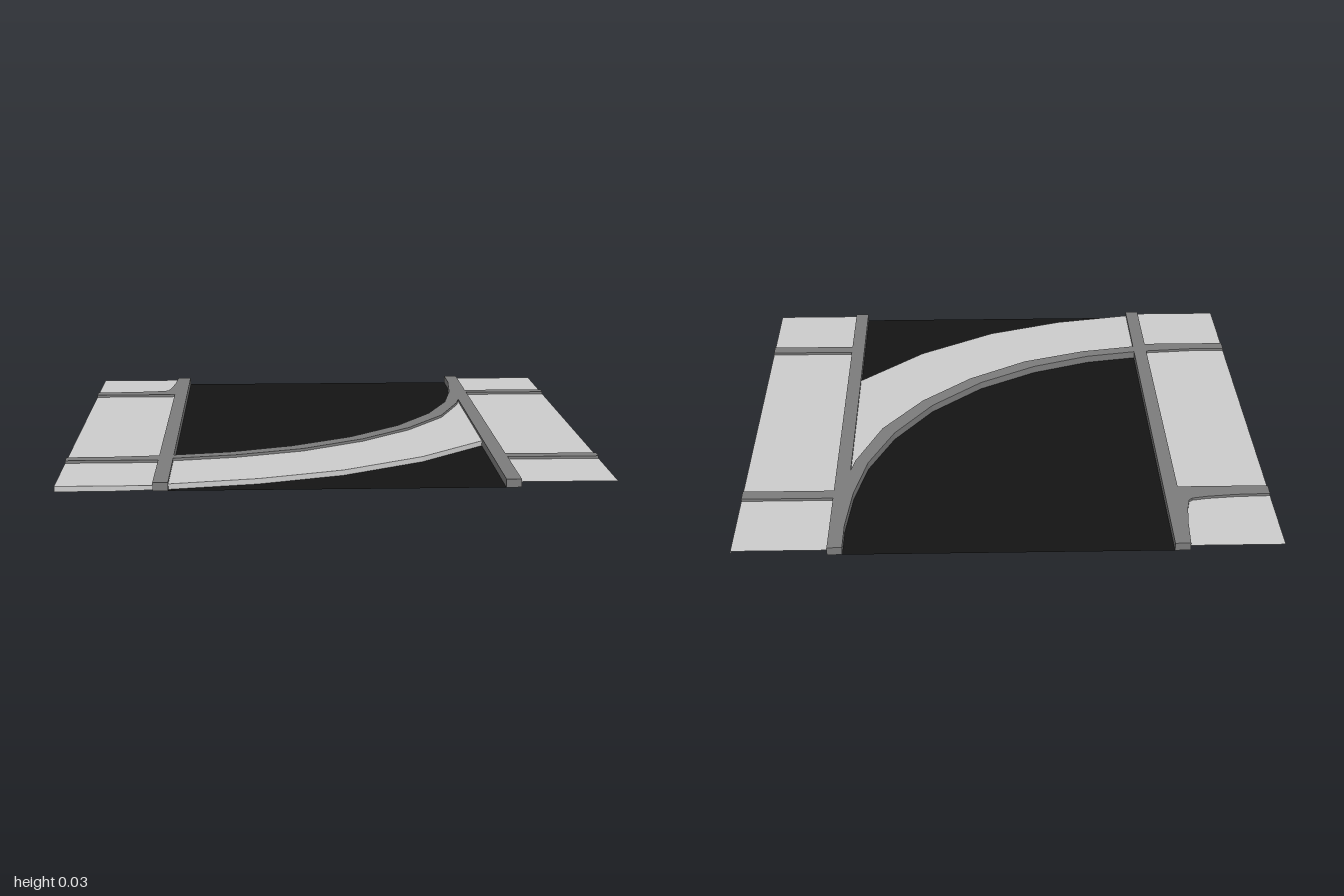
import * as THREE from 'three';

const CURB_TOP = 0.03, PAVE_TOP = 0.02;
const INNER = 0.6, OUTER = 0.655; // road-side and pavement-side edges of the curbs

const makeMat = (color) => new THREE.MeshStandardMaterial({ color, side: THREE.DoubleSide, flatShading: true });

// Outline in plan, given as [x, z] pairs
const planShape = (pts) => new THREE.Shape(pts.map(([x, z]) => new THREE.Vector2(x, -z)));

// Half of a bend, measured from the back right corner, mirrored about its diagonal
function bend(half) {
  const all = [...half, ...half.map(([a, b]) => [b, a]).reverse()];
  return all.map(([a, b]) => [a - 1, b - 1]);
}

export function createModel() {
  const group = new THREE.Group();
  const pave = makeMat(0xcccccc), curb = makeMat(0x7c7c7c), asphalt = makeMat(0x141414);

  const add = (name, geo, mat) => {
    const mesh = new THREE.Mesh(geo, mat);
    mesh.name = name;
    group.add(mesh);
  };
  const sheet = (name, pts, y, mat) =>
    add(name, new THREE.ShapeGeometry(planShape(pts)).rotateX(-Math.PI / 2).translate(0, y, 0), mat);
  const slab = (name, pts, mat) =>
    add(name, new THREE.ExtrudeGeometry(planShape(pts), { depth: CURB_TOP, bevelEnabled: false }).rotateX(-Math.PI / 2), mat);
  const rect = (x0, x1, z0, z1) => [[x0, z0], [x1, z0], [x1, z1], [x0, z1]];

  // Cross-shaped road surface, reaching into the rounded corner
  const r = INNER;
  sheet('road', [
    [-r, -1], [r, -1], [r, -r], [1, -r], [1, r], [r, r], [r, 1], [-r, 1], [-r, r], [-1, r],
    [-1, -r], [-0.8, -0.615], [-0.67, -0.635], [-0.635, -0.67], [-0.615, -0.8],
  ], 0, asphalt);

  // Straight pavements and curbs along both sides
  for (const s of [-1, 1]) {
    const side = s > 0 ? 'left' : 'right';
    sheet(side + 'Pavement', rect(s * OUTER, s, -1, 1), PAVE_TOP, pave);
    slab(side + 'Curb', rect(s * INNER, s * OUTER, -1, 1), curb);
    for (const t of [-1, 1]) {
      slab(side + (t > 0 ? 'FrontCrossCurb' : 'BackCrossCurb'), rect(s * OUTER, s, t * INNER, t * OUTER), curb);
    }
  }

  // Curb filling the rounded corner
  slab('roundedCornerCurb', [
    [-INNER, -1], [-INNER, -INNER], [-1, -INNER], [-1, -0.66], [-0.87, -0.664], [-0.76, -0.675],
    [-0.7, -0.687], [-0.687, -0.7], [-0.675, -0.76], [-0.664, -0.87], [-0.657, -1],
  ], curb);

  // Sweeping bend: raised curb, pavement and its outer wall
  const curbIn = bend([[1.6, 0], [1.6, 0.15], [1.58, 0.38], [1.535, 0.61], [1.44, 0.85], [1.29, 1.085]]);
  const curbOut = bend([[1.655, 0], [1.65, 0.15], [1.63, 0.4], [1.585, 0.63], [1.49, 0.89], [1.33, 1.13]]);
  const edge = bend([[2, 0], [2, 0.2], [1.98, 0.4], [1.915, 0.72], [1.8, 1.03], [1.6, 1.34]]);
  slab('bendCurb', [...curbIn, ...curbOut.slice().reverse()], curb);
  sheet('bendPavement', [...curbOut, ...edge.slice().reverse()], PAVE_TOP, pave);

  const pos = [], idx = [];
  edge.forEach(([x, z], i) => {
    pos.push(x, 0, z, x, PAVE_TOP, z);
    if (i) {
      const a = 2 * i - 2;
      idx.push(a, a + 1, a + 2, a + 1, a + 3, a + 2);
    }
  });
  const wall = new THREE.BufferGeometry();
  wall.setAttribute('position', new THREE.Float32BufferAttribute(pos, 3));
  wall.setIndex(idx);
  wall.computeVertexNormals();
  add('bendOuterWall', wall, pave);

  return group;
}
